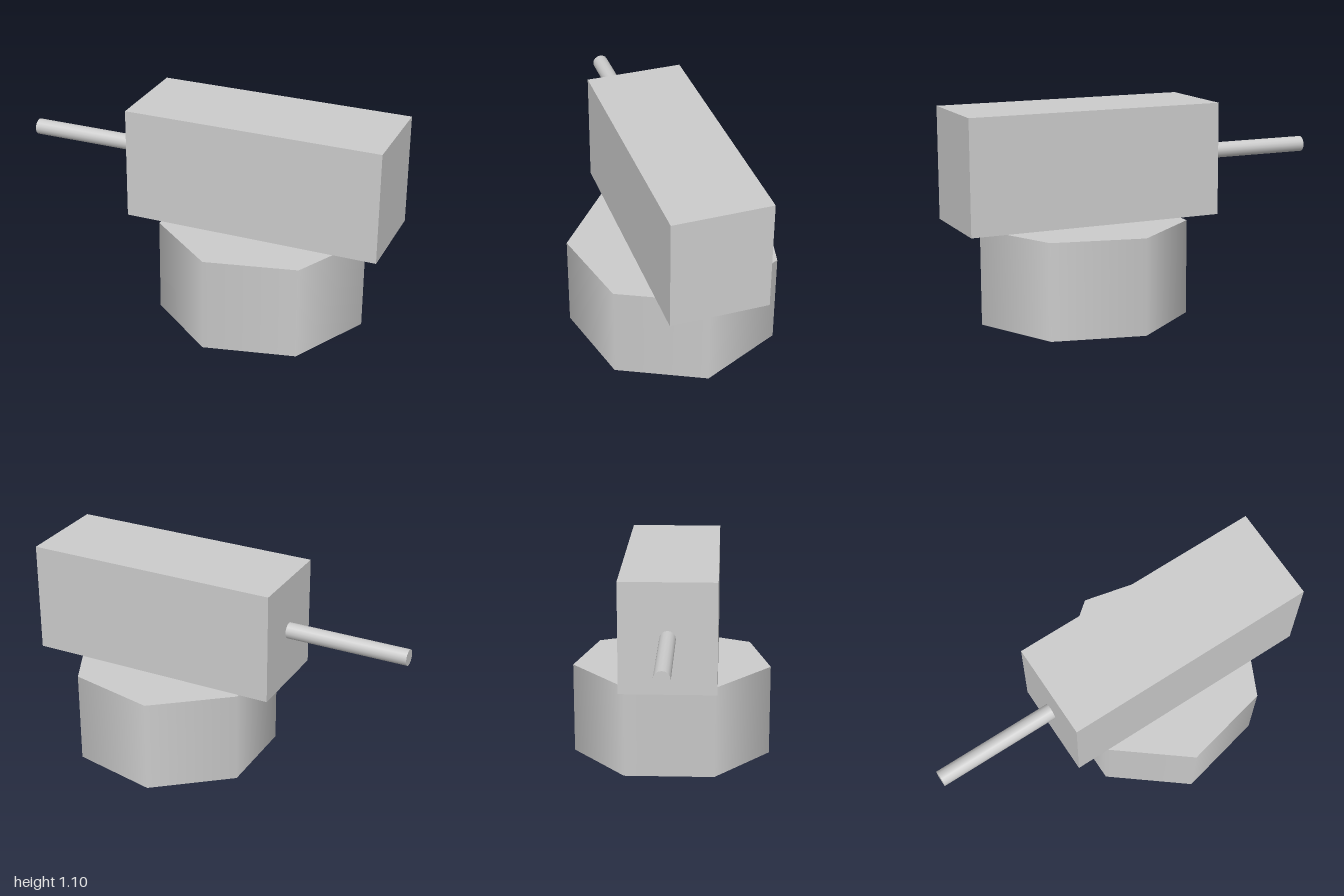
import * as THREE from 'three';

export function createModel() {
  const group = new THREE.Group();
  const material = new THREE.MeshStandardMaterial({ color: 0xcccccc });

  const add = (name, geometry, x, y, z) => {
    const mesh = new THREE.Mesh(geometry, material);
    mesh.name = name;
    mesh.position.set(x, y, z);
    group.add(mesh);
    return mesh;
  };

  // Seven-sided base with smooth side normals, one corner towards +x
  const baseHeight = 0.495;
  const base = new THREE.CylinderGeometry(0.55, 0.55, baseHeight, 7).rotateY(Math.PI / 2);
  add('base', base, 0.32, baseHeight / 2, 0);

  // Box body floating just above the base
  add('body', new THREE.BoxGeometry(1.35, 0.585, 0.504), 0.325, 0.807, 0);

  // Thin barrel from the body's right end
  const barrel = new THREE.CylinderGeometry(0.042, 0.042, 0.65, 16).rotateZ(Math.PI / 2);
  add('barrel', barrel, -0.675, 0.808, 0);

  return group;
}
